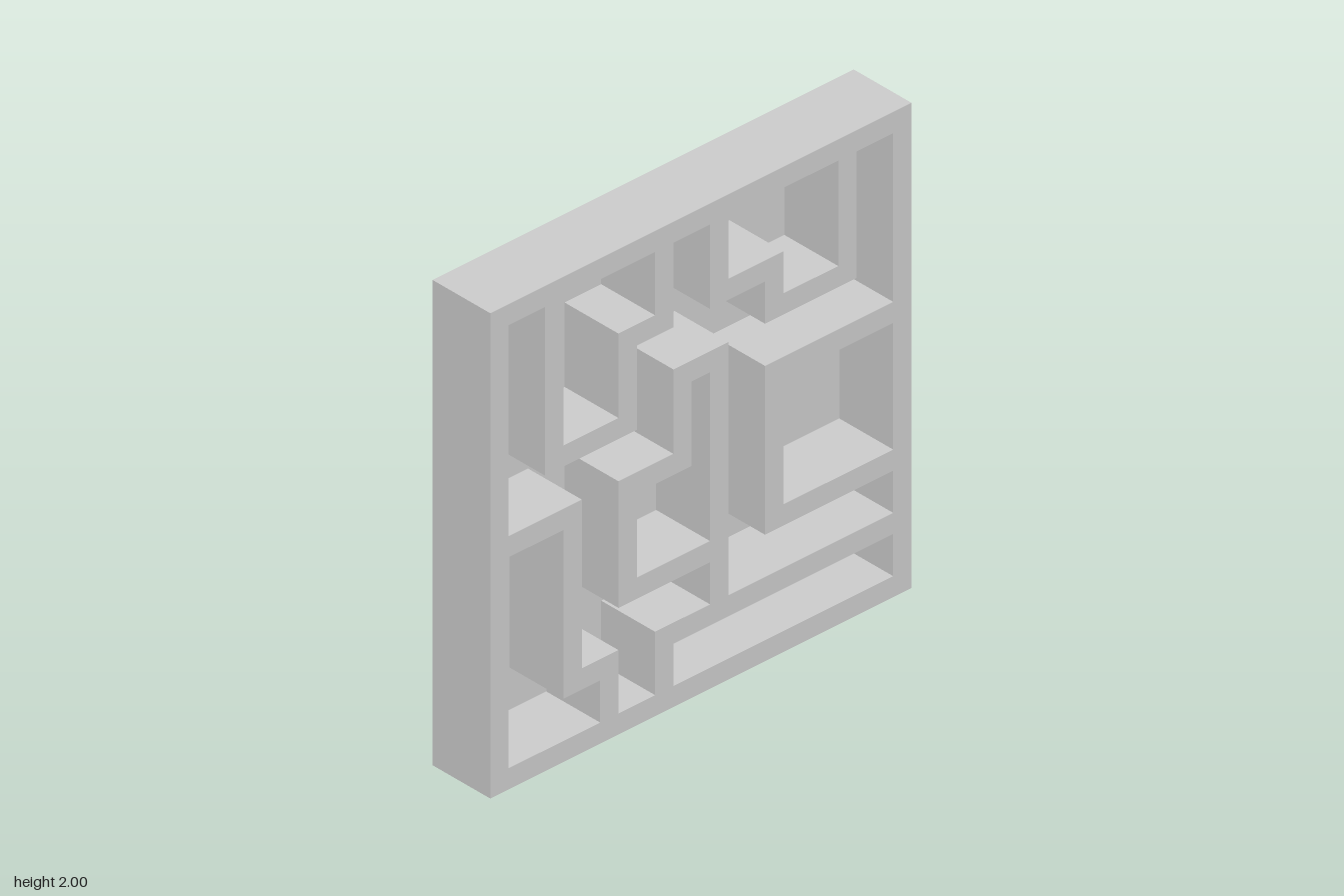
import * as THREE from 'three';

// The maze lies on a grid of 23 x 23 units; one wall is one unit thick.
const N = 23, U = 2 / N;
const THICKNESS = 0.295, FLOOR = 0.02;

// Outlines of the recesses, in grid units: [across from the +z edge, up]
const path = [
  [1, 22], [3, 22], [3, 14], [8, 14], [8, 18], [10, 18], [10, 22], [12, 22], [12, 18],
  [15, 18], [15, 16], [20, 16], [20, 22], [22, 22], [22, 14], [15, 14], [15, 6], [22, 6],
  [22, 4], [13, 4], [13, 16], [10, 16], [10, 12], [7, 12], [7, 6], [12, 6], [12, 4],
  [9, 4], [9, 1], [7, 1], [7, 4], [5, 4], [5, 12], [1, 12],
];
const pockets = [
  [[4, 22], [9, 22], [9, 19], [7, 19], [7, 15], [4, 15]],
  [[13, 22], [19, 22], [19, 17], [16, 17], [16, 19], [13, 19]],
  [[16, 13], [22, 13], [22, 7], [16, 7]],
  [[1, 11], [4, 11], [4, 3], [6, 3], [6, 1], [1, 1]],
  [[10, 3], [22, 3], [22, 1], [10, 1]],
  [[11, 15], [12, 15], [12, 7], [8, 7], [8, 11], [11, 11]],
];

const toPoints = (cells) => cells.map(([a, b]) => new THREE.Vector2(a * U - 1, b * U));

export function createModel() {
  const group = new THREE.Group();
  group.name = 'mazePanel';
  const material = new THREE.MeshStandardMaterial({ color: 0xcccccc, flatShading: true });

  // Walls: a square slab with the path and closed pockets cut through it
  const outline = new THREE.Shape(toPoints([[0, 0], [N, 0], [N, N], [0, N]]));
  outline.holes = [path, ...pockets].map((cells) => new THREE.Path(toPoints(cells)));
  const wallGeometry = new THREE.ExtrudeGeometry(outline, {
    depth: THICKNESS - FLOOR, bevelEnabled: false,
  });
  wallGeometry.rotateY(Math.PI / 2); // open side faces +x
  const walls = new THREE.Mesh(wallGeometry, material);
  walls.name = 'mazeWalls';
  walls.position.x = FLOOR - THICKNESS / 2;

  // Thin base plate closing the maze on the -x side
  const base = new THREE.Mesh(new THREE.BoxGeometry(FLOOR, 2, 2), material);
  base.name = 'basePlate';
  base.position.set((FLOOR - THICKNESS) / 2, 1, 0);

  group.add(walls, base);
  return group;
}
